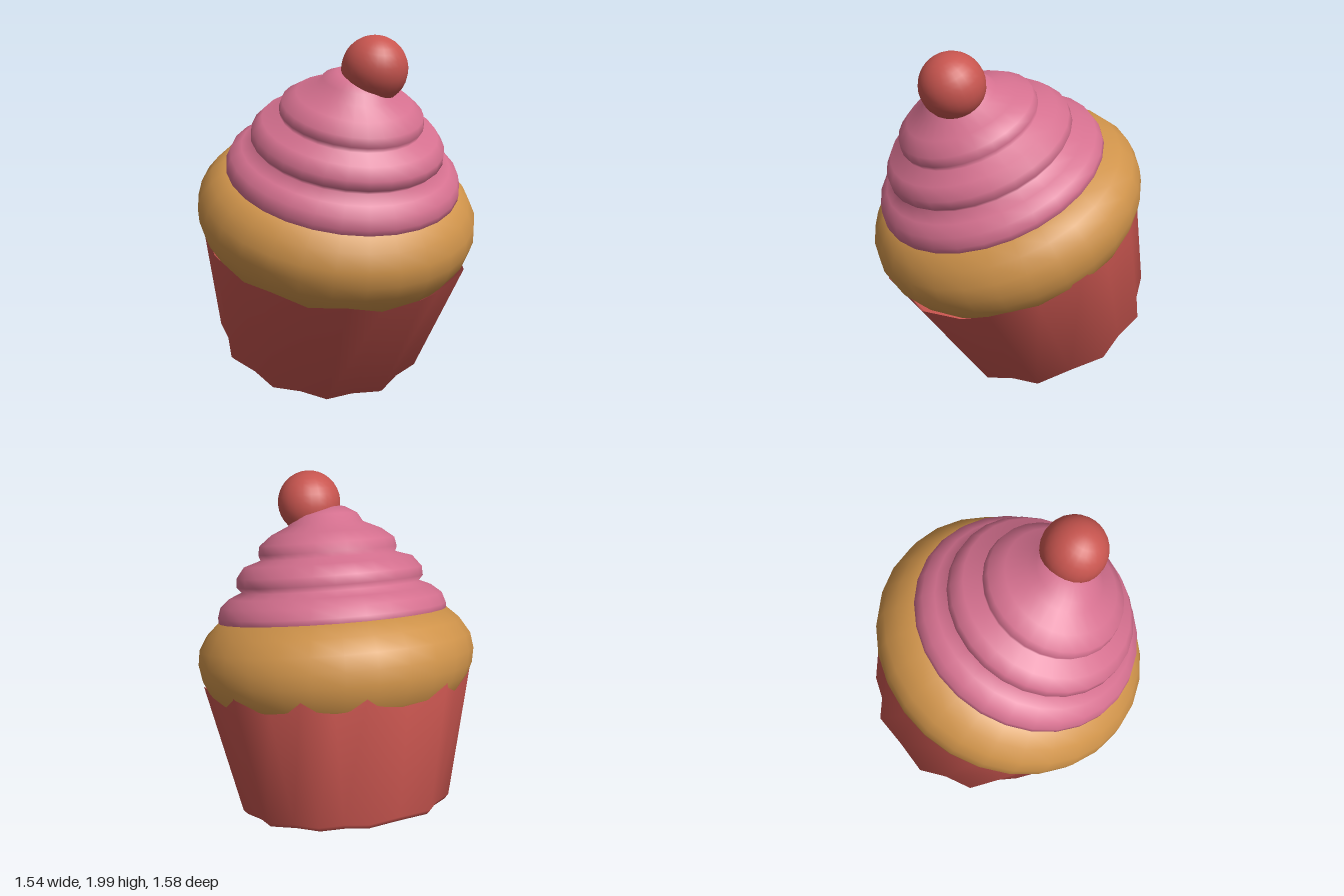
import * as THREE from 'three';
import { toCreasedNormals } from 'three/addons/utils/BufferGeometryUtils.js';

const red = new THREE.MeshStandardMaterial({ color: 0xc8554f, side: THREE.DoubleSide });
red.name = 'cherry red';
const golden = new THREE.MeshStandardMaterial({ color: 0xcf934a });
golden.name = 'golden sponge';
const pink = new THREE.MeshStandardMaterial({ color: 0xd5708f });
pink.name = 'pink icing';

function part(name, geometry, material) {
  const mesh = new THREE.Mesh(geometry, material);
  mesh.name = name;
  return mesh;
}

// Smooth turned part from [radius, height] points, bottom to top
function turned(points) {
  return new THREE.LatheGeometry(points.map(([r, y]) => new THREE.Vector2(r, y)), 28);
}

// Pleated paper case: uneven ridges with a valley halfway between neighbours
function wrapperGeometry() {
  const ridges = [19.5, 52, 84, 115, 147, 178, 210, 249, 275, 307, 339.5];
  const columns = [];
  ridges.forEach((deg, i) => {
    const next = i + 1 < ridges.length ? ridges[i + 1] : ridges[0] + 360;
    columns.push({ deg, bottom: 0.595, top: 0.757, height: 0.755 });
    columns.push({ deg: (deg + next) / 2, bottom: 0.555, top: 0.705, height: 0.69 });
  });
  // Rings: base centre, flat base, base edge, bevel, rim
  const rings = [
    () => [0, 0],
    (c) => [c.bottom * 0.88, 0],
    (c) => [c.bottom * 0.96, 0],
    (c) => [c.bottom, 0.025],
    (c) => [c.top, c.height],
  ];
  const n = columns.length;
  const positions = [];
  const index = [];
  rings.forEach((ring, j) => columns.forEach((c, i) => {
    const [r, y] = ring(c);
    const a = THREE.MathUtils.degToRad(c.deg);
    positions.push(r * Math.cos(a), y, r * Math.sin(a));
    if (j === 0) return;
    const k = (i + 1) % n;
    const lo = (j - 1) * n, hi = j * n;
    if (j > 1) index.push(lo + i, hi + i, lo + k);
    index.push(lo + k, hi + i, hi + k);
  }));
  const geometry = new THREE.BufferGeometry();
  geometry.setAttribute('position', new THREE.Float32BufferAttribute(positions, 3));
  geometry.setIndex(index);
  return toCreasedNormals(geometry, THREE.MathUtils.degToRad(65));
}

export function createModel() {
  const model = new THREE.Group();
  model.name = 'cupcake';

  // Everything shares one leaning axis
  const cake = new THREE.Group();
  cake.name = 'leaningCake';
  cake.position.set(-0.1, 0.222, -0.24);
  cake.quaternion.setFromUnitVectors(
    new THREE.Vector3(0, 1, 0),
    new THREE.Vector3(0.126, 0.926, 0.355).normalize(),
  );
  model.add(cake);

  cake.add(part('wrapper', wrapperGeometry(), red));

  // Sponge bulging over the case
  const sponge = part('sponge', turned([
    [0.5, 0.54], [0.62, 0.595], [0.69, 0.66], [0.735, 0.725], [0.765, 0.79],
    [0.778, 0.87], [0.765, 0.955], [0.715, 1.035], [0.645, 1.1], [0.5, 1.15],
  ]), golden);
  sponge.position.set(-0.007, 0, -0.022);
  cake.add(sponge);

  // Three swirled tiers of icing and a soft tip
  const icing = part('icing', turned([
    [0.6, 1.06], [0.643, 1.09], [0.643, 1.13], [0.625, 1.185], [0.57, 1.23], [0.5, 1.26],
    [0.525, 1.29], [0.522, 1.34], [0.475, 1.4], [0.38, 1.43],
    [0.39, 1.46], [0.38, 1.51], [0.31, 1.565], [0.21, 1.61],
    [0.18, 1.66], [0.11, 1.7], [0, 1.715],
  ]), pink);
  icing.position.set(-0.004, 0, -0.021);
  cake.add(icing);

  // Cherry resting slightly off centre
  const cherry = part('cherry', new THREE.SphereGeometry(0.175, 24, 16), red);
  cherry.position.set(0.08, 1.735, -0.024);
  cake.add(cherry);

  return model;
}
